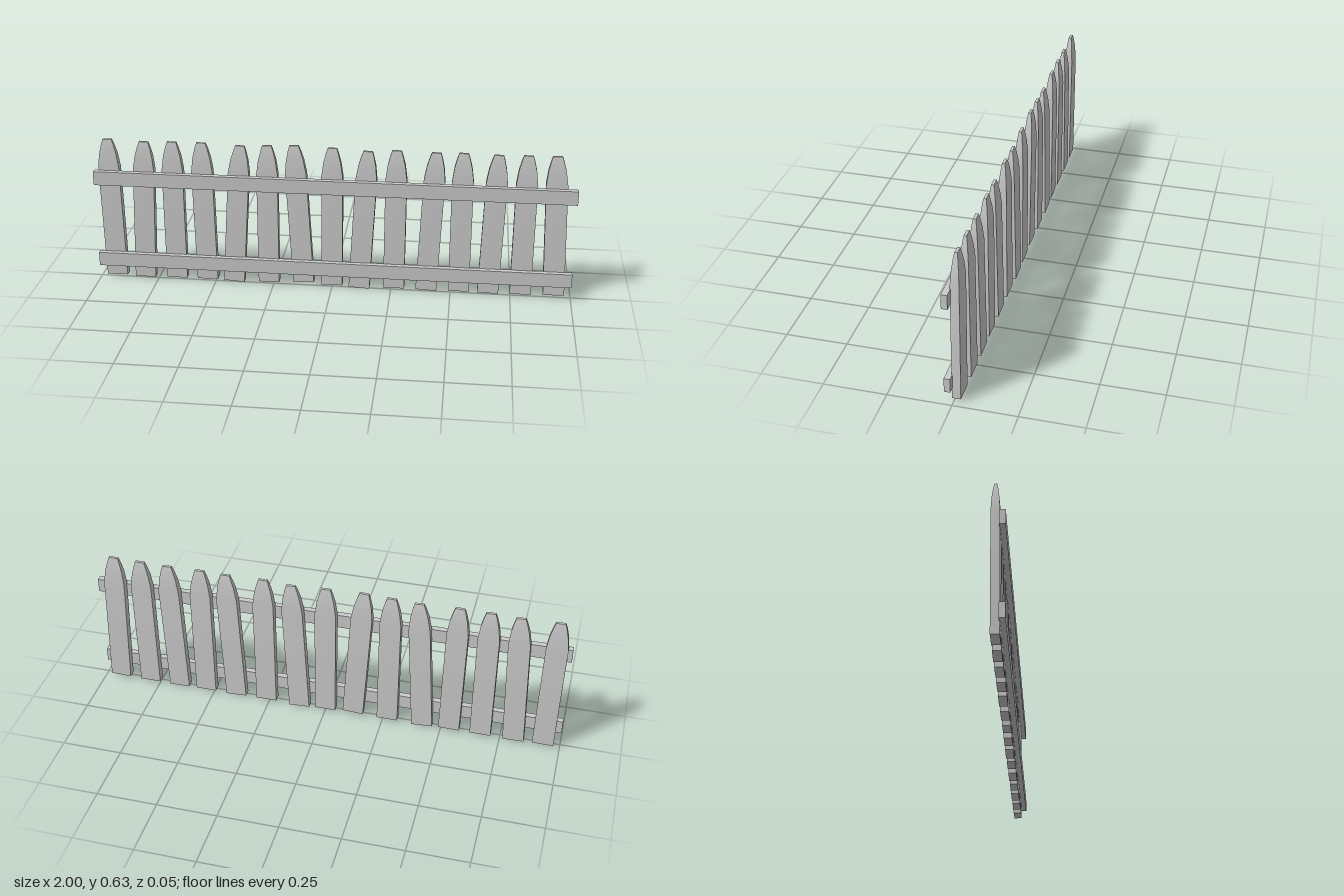
import * as THREE from 'three';
import { toCreasedNormals } from 'three/addons/utils/BufferGeometryUtils.js';

const HEIGHT = 0.612;

// Picket cross-sections from foot to tip: [height, half width, half depth]
const SECTIONS = [
  [0, 0.044, 0.017],
  [0.49, 0.044, 0.017],
  [0.55, 0.036, 0.0135],
  [0.59, 0.026, 0.009],
  [HEIGHT, 0.019, 0.0055],
];

// Each picket: [foot x, tip x, foot y]
const PICKETS = [
  [-0.93, -0.94, 0.011], [-0.807, -0.786, 0.007], [-0.668, -0.668, 0.01],
  [-0.535, -0.545, 0.011], [-0.42, -0.382, 0.006], [-0.27, -0.27, 0.01],
  [-0.121, -0.158, 0.016], [0, 0, 0.01], [0.115, 0.147, 0.003],
  [0.262, 0.264, 0.01], [0.398, 0.425, 0.008], [0.535, 0.535, 0.01],
  [0.657, 0.676, 0.008], [0.792, 0.794, 0.01], [0.93, 0.909, 0.013],
];

// A box whose rows of vertices follow the sections
function picketGeometry() {
  const rows = SECTIONS.length - 1;
  const geo = new THREE.BoxGeometry(2, rows, 2, 1, rows, 1);
  const pos = geo.attributes.position;
  for (let i = 0; i < pos.count; i++) {
    const [y, w, d] = SECTIONS[Math.round(pos.getY(i) + rows / 2)];
    pos.setXYZ(i, pos.getX(i) * w, y, pos.getZ(i) * d);
  }
  return toCreasedNormals(geo, 0.5);
}

export function createModel() {
  const fence = new THREE.Group();
  fence.name = 'picketFence';
  const wood = new THREE.MeshStandardMaterial({ color: 0xcccccc });

  // Slightly crooked pickets
  const geo = picketGeometry();
  PICKETS.forEach(([foot, tip, y], i) => {
    const picket = new THREE.Mesh(geo, wood);
    picket.name = `picket${i + 1}`;
    picket.position.set(foot, y, -0.01);
    picket.rotation.z = Math.asin((foot - tip) / HEIGHT);
    fence.add(picket);
  });

  // Two rails across the front
  const railGeo = new THREE.BoxGeometry(2, 0.06, 0.024);
  for (const [name, y] of [['lowerRail', 0.09], ['upperRail', 0.46]]) {
    const rail = new THREE.Mesh(railGeo, wood);
    rail.name = name;
    rail.position.set(0, y, 0.016);
    fence.add(rail);
  }
  return fence;
}
